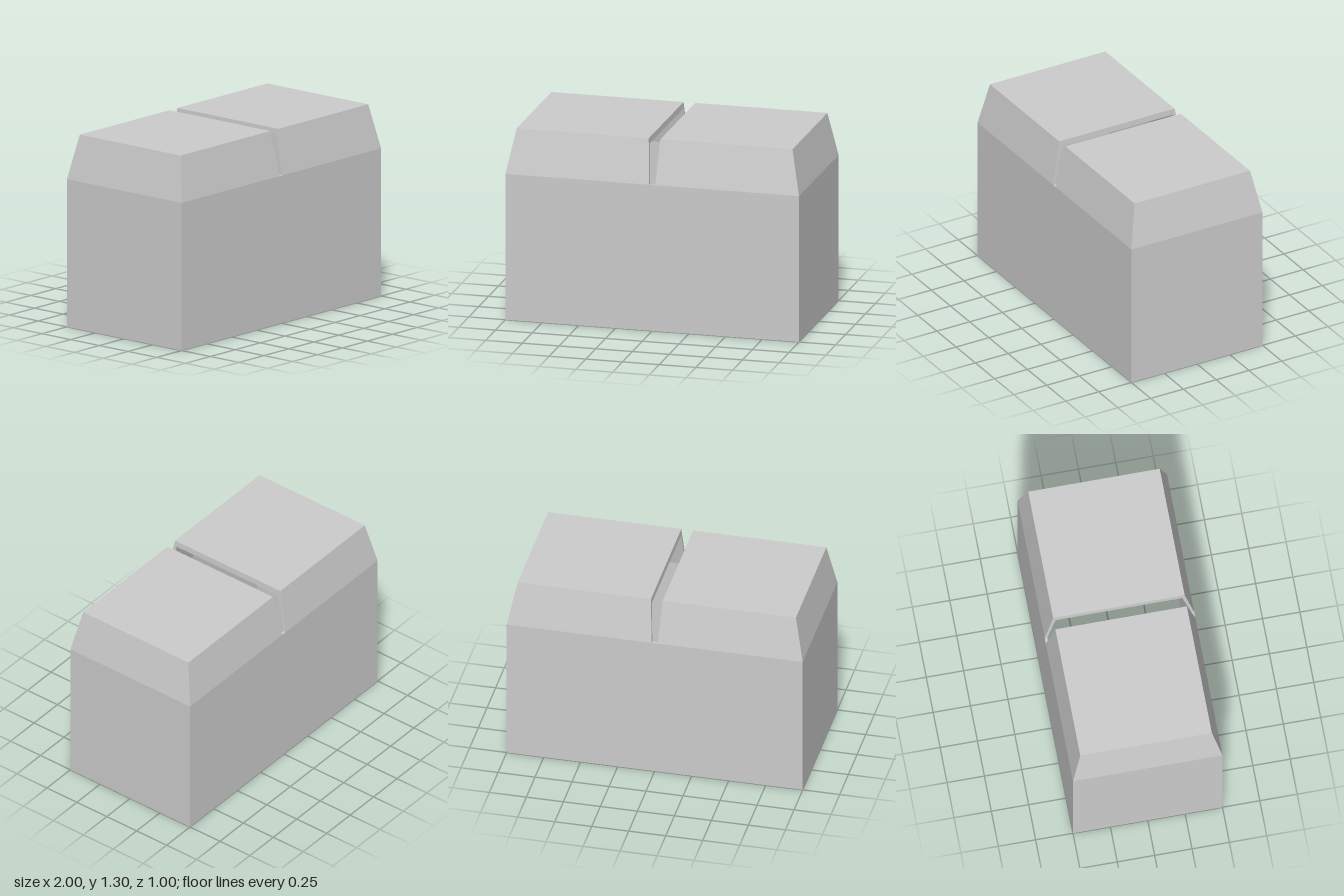
import * as THREE from 'three';

// Four plan corners at one height: front-inner, front-outer, back-outer, back-inner
const level = (y, x, z, startX = -x) =>
  [[startX, y, z], [x, y, z], [x, y, -z], [startX, y, -z]];

// Quads joining two levels, corner by corner
function band(a, b, sides) {
  const quads = [];
  for (let i = 0; i < sides; i++) {
    const j = (i + 1) % 4;
    quads.push([a[i], a[j], b[j], b[i]]);
  }
  return quads;
}

// Non-indexed geometry, so every face stays flat
function fromQuads(quads) {
  const pos = quads.flatMap(([a, b, c, d]) => [a, b, c, a, c, d].flat());
  const geo = new THREE.BufferGeometry();
  geo.setAttribute('position', new THREE.Float32BufferAttribute(pos, 3));
  geo.computeVertexNormals();
  return geo;
}

export function createModel() {
  const group = new THREE.Group();
  group.name = 'slottedCover';
  const material = new THREE.MeshStandardMaterial({ color: 0xcccccc, flatShading: true });

  const add = (name, quads) => {
    const mesh = new THREE.Mesh(fromQuads(quads), material);
    mesh.name = name;
    group.add(mesh);
    return mesh;
  };

  // Straight hollow walls, open underneath, with a sill below each end of the slot
  const outer0 = level(0, 1, 0.5), outer1 = level(1, 1, 0.5);
  const inner0 = level(0, 0.965, 0.482), inner1 = level(1, 0.965, 0.482);
  const sill = (zFront, zBack) =>
    [[-0.02, 1, zFront], [0.02, 1, zFront], [0.02, 1, zBack], [-0.02, 1, zBack]];
  add('walls', [
    ...band(outer0, outer1, 4),
    ...band(inner1, inner0, 4),
    ...band(inner0, outer0, 4),
    sill(0.5, 0.482),
    sill(-0.482, -0.5),
  ]);

  // Tapered half lid: a thin shell whose slot side is left open
  const outLow = level(1, 1, 0.5, 0.02), outTop = level(1.3, 0.94, 0.44, 0.04);
  const inLow = level(1, 0.965, 0.482, 0.02), inTop = level(1.26, 0.905, 0.424, 0.037);
  const halfLid = [
    ...band(outLow, outTop, 3),
    ...band(inTop, inLow, 3),
    outTop,
    [...inTop].reverse(),
    // cut edges along the slot
    [outLow[0], outTop[0], inTop[0], inLow[0]],
    [outTop[0], outTop[3], inTop[3], inTop[0]],
    [outLow[3], inLow[3], inTop[3], outTop[3]],
  ];
  add('leftLid', halfLid);
  add('rightLid', halfLid).rotation.y = Math.PI;

  return group;
}
